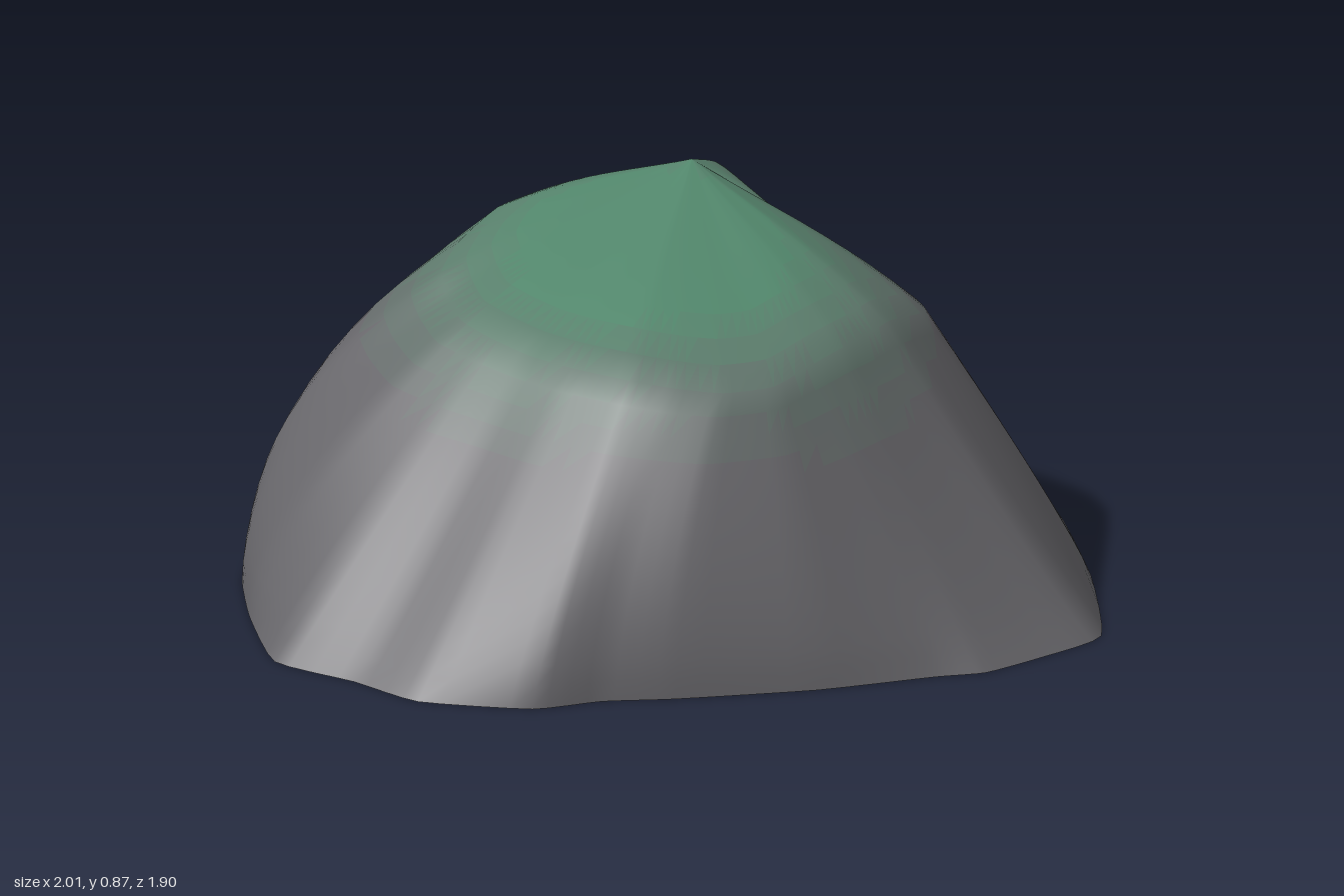
import * as THREE from 'three';

// Each column of the hill: [foot x, foot z, roundness of slope, rim x, rim z, rim y]
const columns = [
  [0.23, 0.95, 1.08, 0.18, 0.40, 0.66],
  [0.53, 0.71, 0.9, 0.38, 0.36, 0.61],
  [0.83, 0.40, 1.1, 0.47, 0.25, 0.60],
  [0.92, 0.15, 1.28, 0.42, 0.05, 0.68],
  [0.98, -0.12, 1.1, 0.39, -0.12, 0.79],
  [1.0, -0.36, 0.88, 0.41, -0.24, 0.83],
  [1.0, -0.55, 1.08, 0.41, -0.34, 0.8],
  [0.87, -0.83, 1.08, 0.36, -0.43, 0.78],
  [0.65, -0.94, 0.85, 0.27, -0.50, 0.77],
  [0.40, -0.95, 0.56, 0.15, -0.54, 0.78],
  [0.0, -0.93, 0.4, 0.0, -0.56, 0.78],
  [-0.35, -0.92, 0.39, -0.17, -0.55, 0.75],
  [-0.51, -0.89, 0.43, -0.28, -0.52, 0.72],
  [-0.61, -0.84, 0.5, -0.34, -0.46, 0.69],
  [-0.78, -0.70, 0.62, -0.4, -0.38, 0.67],
  [-0.98, -0.49, 0.95, -0.43, -0.28, 0.66],
  [-0.98, -0.27, 1.05, -0.45, -0.16, 0.65],
  [-1.0, -0.08, 1.02, -0.46, -0.03, 0.65],
  [-0.89, 0.16, 0.8, -0.45, 0.12, 0.65],
  [-0.76, 0.26, 0.66, -0.41, 0.22, 0.64],
  [-0.65, 0.39, 0.6, -0.35, 0.31, 0.63],
  [-0.42, 0.62, 0.7, -0.25, 0.38, 0.63],
  [-0.20, 0.79, 0.9, -0.12, 0.40, 0.65],
  [-0.11, 0.87, 1.05, -0.02, 0.41, 0.66],
  [0.05, 0.92, 1.08, 0.08, 0.41, 0.66],
];
const SIDES = columns.length * 4, SLOPE = 14, CAP = 10, BANDS = 9;
const peak = new THREE.Vector3(0.31, 0.87, -0.24);
const loop = (pts) => new THREE.CatmullRomCurve3(pts, true, 'catmullrom', 0.25);

// Whole surface: slope rows from foot to rim, then cap rows from rim to peak
function hillSurface() {
  const foot = loop(columns.map(([x, z, r]) => new THREE.Vector3(x, r, z)));
  const rim = loop(columns.map((c) => new THREE.Vector3(c[3], c[5], c[4])));
  const pos = [], index = [];
  for (let j = 0; j <= SLOPE + CAP; j++) {
    for (let i = 0; i < SIDES; i++) {
      const f = foot.getPoint(i / SIDES), r = rim.getPoint(i / SIDES);
      let p;
      if (j <= SLOPE) {
        const s = j / SLOPE, t = Math.pow(s, 1 / f.y);
        p = new THREE.Vector3(f.x + (r.x - f.x) * t, r.y * s, f.z + (r.z - f.z) * t);
      } else {
        const k = (j - SLOPE) / CAP, bulge = 0.16 * r.distanceTo(peak);
        p = r.lerp(peak, k);
        p.y += bulge * k * (1 - k) * (1 - k);
      }
      pos.push(p.x, p.y, p.z);
    }
  }
  for (let j = 0; j < SLOPE + CAP; j++) {
    for (let i = 0; i < SIDES; i++) {
      const n = (i + 1) % SIDES;
      const a = j * SIDES + i, b = j * SIDES + n, c = b + SIDES, d = a + SIDES;
      index.push(a, b, c);
      if (j < SLOPE + CAP - 1) index.push(a, c, d);
    }
  }
  const geo = new THREE.BufferGeometry();
  geo.setAttribute('position', new THREE.Float32BufferAttribute(pos, 3));
  geo.setIndex(index);
  geo.computeVertexNormals();
  return geo;
}

export function createModel() {
  const group = new THREE.Group();
  group.name = 'mossyHill';
  const surface = hillSurface();
  const pos = surface.attributes.position, idx = surface.index.array;

  // Sort triangles into colour bands by distance from the middle of the moss
  const bands = Array.from({ length: BANDS }, () => []);
  for (let t = 0; t < idx.length; t += 3) {
    let x = 0, z = 0;
    for (let k = 0; k < 3; k++) {
      x += pos.getX(idx[t + k]) / 3;
      z += pos.getZ(idx[t + k]) / 3;
    }
    const d = Math.hypot(x + 0.01, (z + 0.13) * 0.9);
    const fade = THREE.MathUtils.clamp((d - 0.27) / 0.35, 0, 1);
    bands[Math.round(fade * (BANDS - 1))].push(idx[t], idx[t + 1], idx[t + 2]);
  }

  // One mesh per band, sharing the smooth normals of the whole hill
  const moss = new THREE.Color(0x52876c), rock = new THREE.Color(0x67666a);
  bands.forEach((list, b) => {
    const geo = new THREE.BufferGeometry();
    geo.setAttribute('position', pos);
    geo.setAttribute('normal', surface.attributes.normal);
    geo.setIndex(list);
    const color = moss.clone().lerp(rock, b / (BANDS - 1));
    const mesh = new THREE.Mesh(geo, new THREE.MeshStandardMaterial({ color, side: THREE.DoubleSide }));
    mesh.name = b === 0 ? 'mossCap' : b === BANDS - 1 ? 'rockSlope' : 'mossFade' + b;
    group.add(mesh);
  });
  return group;
}
